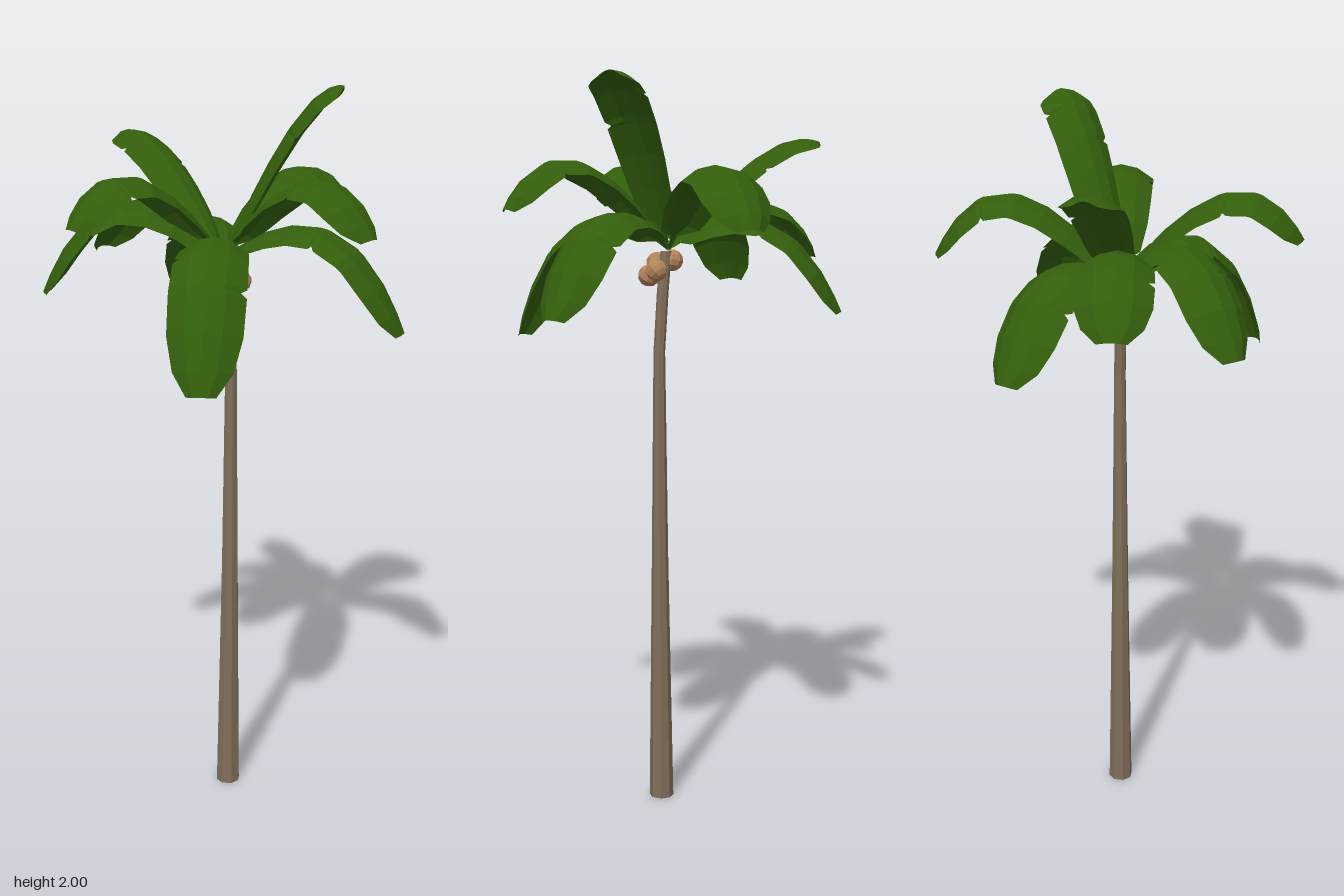
import * as THREE from 'three';

const leafGreen = new THREE.MeshStandardMaterial({ color: 0x335e0c, side: THREE.DoubleSide });
leafGreen.name = 'leaf green';
const barkBrown = new THREE.MeshStandardMaterial({ color: 0x806e5a });
barkBrown.name = 'bark brown';
const nutBrown = new THREE.MeshStandardMaterial({ color: 0xb4855c });
nutBrown.name = 'coconut brown';

// Separate the faces so each one is flat shaded
function facet(geometry) {
  const g = geometry.toNonIndexed();
  g.computeVertexNormals();
  return g;
}

function addMesh(group, name, geometry, material) {
  const mesh = new THREE.Mesh(facet(geometry), material);
  mesh.name = name;
  group.add(mesh);
  return mesh;
}

// Trunk rings from top to bottom: y, x, z, radius
const RINGS = [
  [1.55, -0.01, 0.014, 0.015],
  [1.44, 0.002, 0.015, 0.016],
  [1.28, 0.014, 0.016, 0.016],
  [0.7, 0.011, 0.017, 0.023],
  [0, 0.005, 0.018, 0.034],
];

function trunkGeometry() {
  const g = new THREE.CylinderGeometry(1, 1, 1, 8, RINGS.length - 1);
  const p = g.attributes.position;
  for (let i = 0; i < p.count; i++) {
    const [y, x, z, r] = RINGS[Math.round((0.5 - p.getY(i)) * (RINGS.length - 1))];
    p.setXYZ(i, x + p.getX(i) * r, y, z + p.getZ(i) * r);
  }
  return g;
}

// Leaf rows: position along the rib, left and right width factors (dips are torn notches)
const ROWS = [
  [0, 0.05, 0.05], [0.05, 0.1, 0.1], [0.09, 0.58, 0.58], [0.2, 0.8, 0.8], [0.32, 0.9, 0.9],
  [0.46, 0.96, 0.96], [0.475, 0.82, 0.96], [0.5, 0.98, 0.97], [0.66, 1, 1],
  [0.68, 1, 0.85], [0.7, 1, 1], [0.84, 0.97, 0.97], [0.94, 0.77, 0.77], [1, 0.38, 0.38],
];
const ACROSS = [-1, -0.5, 0, 0.5, 1];
const HEART = new THREE.Vector3(-0.015, 1.555, 0.01);

// Arched blade following a curved rib from the crown to its tip
function leafGeometry(tip, midY, halfWidth) {
  const end = new THREE.Vector3(...tip);
  const control = HEART.clone().lerp(end, 0.65);
  control.y = 2 * midY - (HEART.y + end.y) / 2;
  const rib = new THREE.QuadraticBezierCurve3(HEART, control, end);
  const side = new THREE.Vector3(end.z - HEART.z, 0, HEART.x - end.x).normalize();
  const positions = [];
  const index = [];
  ROWS.forEach(([t, left, right], i) => {
    const centre = rib.getPoint(t);
    const normal = rib.getTangent(t).cross(side).normalize();
    ACROSS.forEach((u, j) => {
      const w = halfWidth * (u < 0 ? left : right);
      const v = centre.clone().addScaledVector(side, u * w).addScaledVector(normal, -0.45 * u * u * w);
      positions.push(v.x, v.y, v.z);
      if (i && j) {
        const d = i * ACROSS.length + j;
        const a = d - ACROSS.length - 1;
        index.push(a, d - 1, d, a, d, a + 1);
      }
    });
  });
  const g = new THREE.BufferGeometry();
  g.setAttribute('position', new THREE.Float32BufferAttribute(positions, 3));
  g.setIndex(index);
  return g;
}

// Tip position, rib height near the middle, half width
const LEAVES = [
  [[0.28, 2.0, -0.085], 1.9, 0.077],
  [[0.47, 1.39, -0.073], 1.645, 0.095],
  [[0.455, 1.66, 0.12], 1.785, 0.09],
  [[0.157, 1.31, 0.445], 1.625, 0.097],
  [[-0.205, 1.68, 0.44], 1.79, 0.092],
  [[-0.46, 1.46, 0.195], 1.69, 0.09],
  [[-0.47, 1.53, -0.115], 1.69, 0.097],
  [[-0.42, 1.85, -0.167], 1.8, 0.075],
  [[-0.315, 1.39, -0.35], 1.625, 0.094],
  [[0.145, 1.61, -0.45], 1.77, 0.097],
];

const COCONUTS = [
  [-0.033, 1.525, 0.014], [-0.006, 1.518, 0.046], [0.036, 1.5, 0.004], [0.024, 1.484, 0.046],
];

export function createModel() {
  const tree = new THREE.Group();
  tree.name = 'palmTree';

  addMesh(tree, 'trunk', trunkGeometry(), barkBrown);

  const crown = new THREE.Group();
  crown.name = 'crown';
  tree.add(crown);
  LEAVES.forEach((leaf, i) => addMesh(crown, `leaf${i + 1}`, leafGeometry(...leaf), leafGreen));

  const coconuts = new THREE.Group();
  coconuts.name = 'coconuts';
  tree.add(coconuts);
  COCONUTS.forEach((at, i) => {
    const nut = addMesh(coconuts, `coconut${i + 1}`, new THREE.SphereGeometry(0.03, 8, 6), nutBrown);
    nut.position.set(...at);
    nut.rotation.set(0.3 * i, i, 0.2);
  });
  return tree;
}
